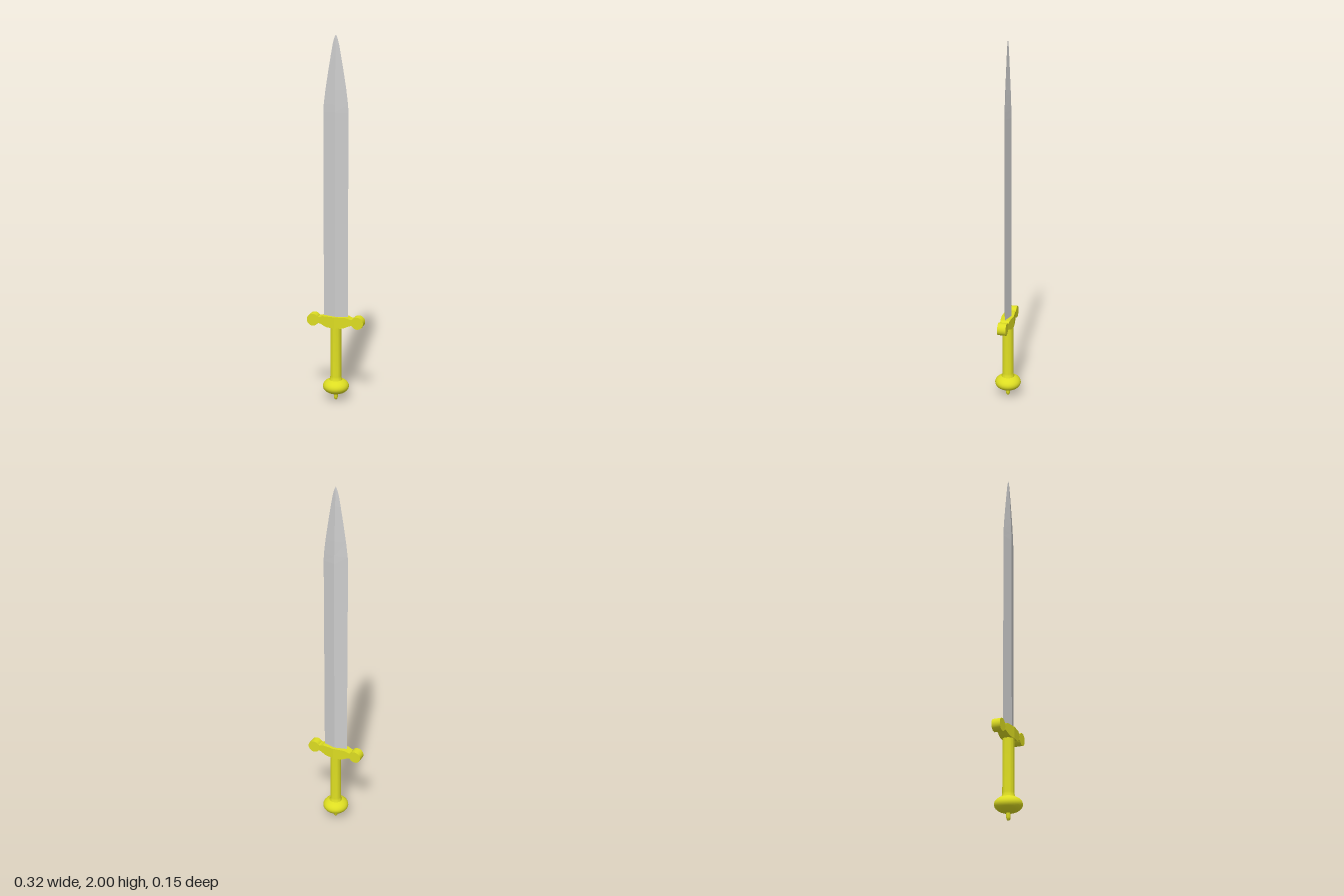
import * as THREE from 'three';
import { toCreasedNormals } from 'three/addons/utils/BufferGeometryUtils.js';

// Skin matching rings of points, closing both ends, with hard facets
function loft(rings) {
  const n = rings[0].length, pos = [];
  const tri = (a, b, c) => pos.push(...a, ...b, ...c);
  for (let r = 0; r < rings.length - 1; r++) {
    const a = rings[r], b = rings[r + 1];
    for (let i = 0; i < n; i++) {
      const j = (i + 1) % n;
      tri(a[i], a[j], b[j]);
      tri(a[i], b[j], b[i]);
    }
  }
  const first = rings[0], last = rings[rings.length - 1];
  for (let i = 1; i < n - 1; i++) {
    tri(first[0], first[i + 1], first[i]);
    tri(last[0], last[i], last[i + 1]);
  }
  const g = new THREE.BufferGeometry();
  g.setAttribute('position', new THREE.Float32BufferAttribute(pos, 3));
  g.computeVertexNormals();
  return g;
}

export function createModel() {
  const group = new THREE.Group();
  const steel = new THREE.MeshStandardMaterial({ color: 0xcccccc });
  steel.name = 'steel';
  const gold = new THREE.MeshStandardMaterial({ color: 0xdddd22 });
  gold.name = 'gold';
  const add = (name, geometry, material) => {
    const mesh = new THREE.Mesh(geometry, material);
    mesh.name = name;
    group.add(mesh);
    return mesh;
  };
  const lathe = (points) => toCreasedNormals(
    new THREE.LatheGeometry(points.map(([r, y]) => new THREE.Vector2(r, y)), 32), 0.7);

  // Blade: diamond section, [y, half width, half depth]
  const blade = [
    [0.47, 0.069, 0.019], [1.6, 0.069, 0.019], [1.64, 0.067, 0.018], [1.72, 0.057, 0.0155],
    [1.82, 0.041, 0.011], [1.9, 0.027, 0.0075], [1.95, 0.018, 0.005], [1.98, 0.01, 0.003],
    [1.995, 0.004, 0.001], [2, 0.0004, 0.0002],
  ];
  add('blade', loft(blade.map(([y, w, d]) => [[0, y, d], [w, y, 0], [0, y, -d], [-w, y, 0]])), steel);

  // Crossguard: [x, top, bottom], mirrored, thickest in the middle
  const half = [
    [0, 0.485, 0.422], [0.04, 0.485, 0.423], [0.055, 0.485, 0.427], [0.07, 0.484, 0.434],
    [0.08, 0.479, 0.439], [0.09, 0.476, 0.441], [0.1, 0.476, 0.441], [0.115, 0.476, 0.441],
  ];
  const guard = [...half.slice(1).reverse().map(([x, t, b]) => [-x, t, b]), ...half];
  add('crossguard', loft(guard.map(([x, t, b]) => {
    const d = Math.max(0.0225, 0.034 - 0.115 * Math.abs(x));
    return [[x, t, d], [x, b, d], [x, b, -d], [x, t, -d]];
  })), gold);

  // Round ends of the crossguard
  for (const side of [1, -1]) {
    const end = add(side > 0 ? 'leftGuardEnd' : 'rightGuardEnd',
      new THREE.CylinderGeometry(0.034, 0.034, 0.047, 28), gold);
    end.rotation.x = Math.PI / 2;
    end.position.set(side * 0.127, 0.458, 0);
  }

  // Grip, flaring into the pommel
  add('grip', lathe([[0.04, 0.105], [0.037, 0.117], [0.032, 0.128], [0.031, 0.14], [0.031, 0.43]]), gold);

  // Pommel: flattened ball
  const pommel = add('pommel', new THREE.SphereGeometry(0.073, 32, 20), gold);
  pommel.scale.y = 0.6;
  pommel.position.y = 0.08;

  // Small rivet under the pommel
  add('rivet', lathe([[0, 0], [0.006, 0.001], [0.0095, 0.006], [0.011, 0.014], [0.011, 0.045]]), gold);

  return group;
}
